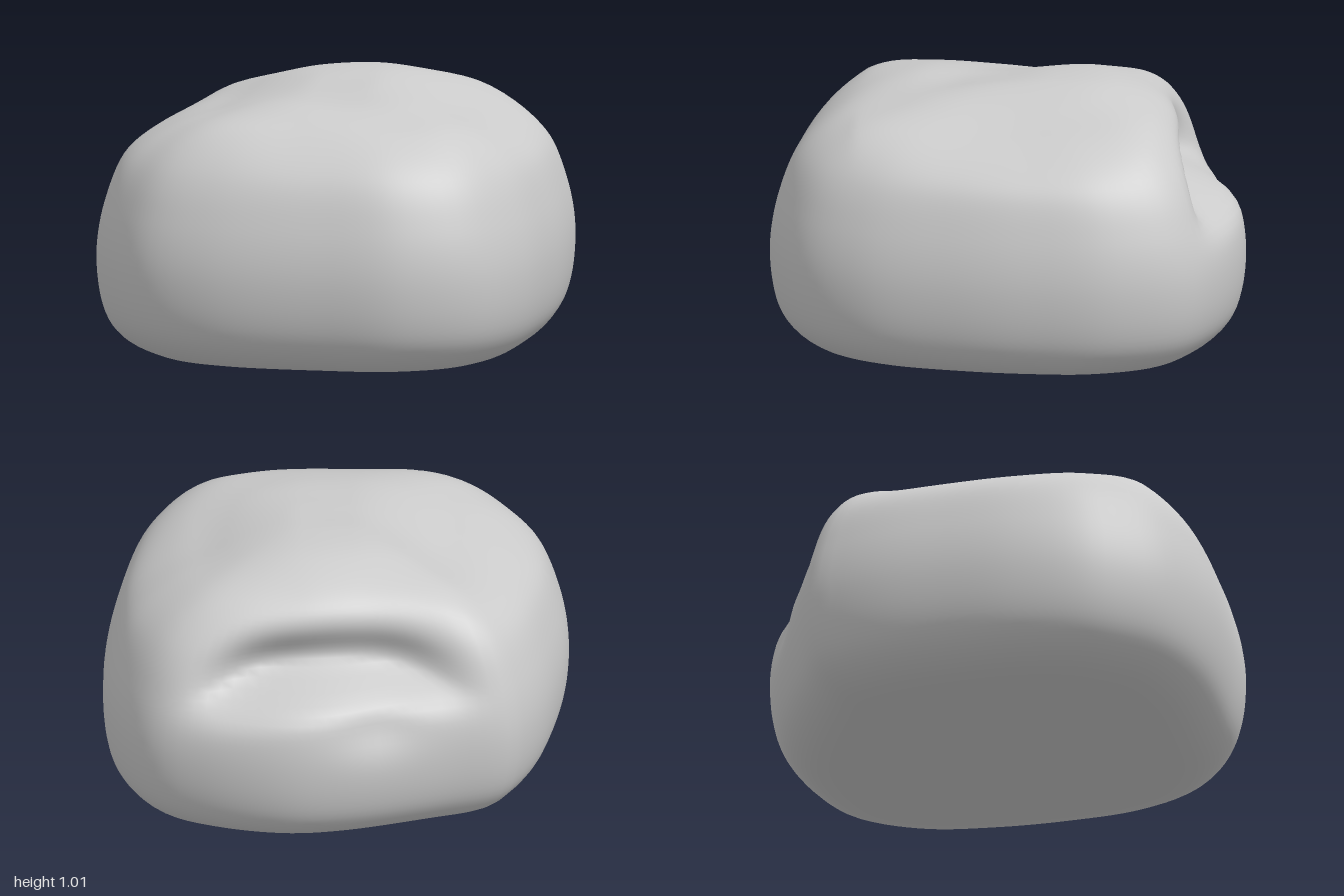
import * as THREE from 'three';
import { ParametricGeometry } from 'three/addons/geometries/ParametricGeometry.js';
import { mergeVertices } from 'three/addons/utils/BufferGeometryUtils.js';

// Plan outline of the cushion at its widest, as x, z
const OUTLINE = [
  [0, -0.95], [0.22, -0.85], [0.59, -0.65], [0.78, -0.49], [0.94, -0.23], [1, 0],
  [0.9, 0.28], [0.68, 0.52], [0.43, 0.72], [0.13, 0.9], [-0.14, 0.95], [-0.42, 0.84],
  [-0.65, 0.6], [-0.91, 0.25], [-1, 0], [-0.97, -0.21], [-0.91, -0.36], [-0.73, -0.57],
  [-0.47, -0.76], [-0.28, -0.87], [-0.12, -0.93],
];

// Side profile from underside to top: outline scale, height
const PROFILE = [
  [0, 0.02], [0.4, 0.02], [0.76, 0.01], [0.87, 0.05], [0.945, 0.12], [0.985, 0.22], [1, 0.4],
  [0.965, 0.58], [0.88, 0.76], [0.7, 0.9], [0.45, 0.98], [0.2, 1], [0, 1],
];

const { smoothstep } = THREE.MathUtils;
const bell = (d, width) => Math.exp(-((d / width) ** 2));

// The cushion runs diagonally: distance along it and across it
const axes = (p) => [(p.x - p.z) * Math.SQRT1_2, (p.x + p.z) * Math.SQRT1_2];

// Tucks the fabric inwards along an arched crease at one end
function tuck(p) {
  const [along, across] = axes(p);
  const dy = p.y - (0.685 - 0.3 * across * across);
  const crease = (0.23 + 0.08 * across) * bell(dy, dy < 0 ? 0.08 : 0.15)
    * Math.exp(-((across / 0.44) ** 4));
  const dimple = 0.04 * bell(across + 0.18, 0.15) * bell(p.y - 0.5, 0.1);
  const depth = (crease + dimple) * smoothstep(along, 0.3, 0.6);
  p.x -= depth * Math.SQRT1_2;
  p.z += depth * Math.SQRT1_2;
}

// Uneven top: sagging long sides, raised ends, a hump and a shallow valley
function sag(p) {
  const [along, across] = axes(p);
  const saddle = 0.055 * smoothstep(Math.abs(across), 0.1, 0.5)
    * Math.max(-0.6, 1 - (along / 0.45) ** 2);
  const hump = 0.025 * Math.exp(-((p.x - 0.3) ** 2 + (p.z + 0.2) ** 2) / 0.15);
  const valley = 0.025 * bell(p.x + 0.17, 0.18);
  p.y += smoothstep(p.y, 0.7, 1) * (hump - valley - saddle);
}

export function createModel() {
  const outline = new THREE.CatmullRomCurve3(
    OUTLINE.map(([x, z]) => new THREE.Vector3(x, 0, z)), true, 'centripetal');
  const profile = new THREE.CatmullRomCurve3(
    PROFILE.map(([s, y]) => new THREE.Vector3(s, y, 0)), false, 'centripetal');

  const surface = (u, v, target) => {
    const ring = outline.getPointAt(u === 0 ? 0 : 1 - u);
    const side = profile.getPointAt(v);
    const s = Math.max(0, side.x);
    target.set(ring.x * s, side.y, ring.z * s);
    sag(target);
    tuck(target);
  };

  let geometry = new ParametricGeometry(surface, 112, 96);
  geometry.deleteAttribute('normal');
  geometry.deleteAttribute('uv');
  geometry = mergeVertices(geometry, 1e-4);
  geometry.computeVertexNormals();

  const cushion = new THREE.Mesh(
    geometry, new THREE.MeshStandardMaterial({ color: 0xcccccc }));
  cushion.name = 'cushion';

  const group = new THREE.Group();
  group.name = 'beanbag';
  group.add(cushion);
  return group;
}
